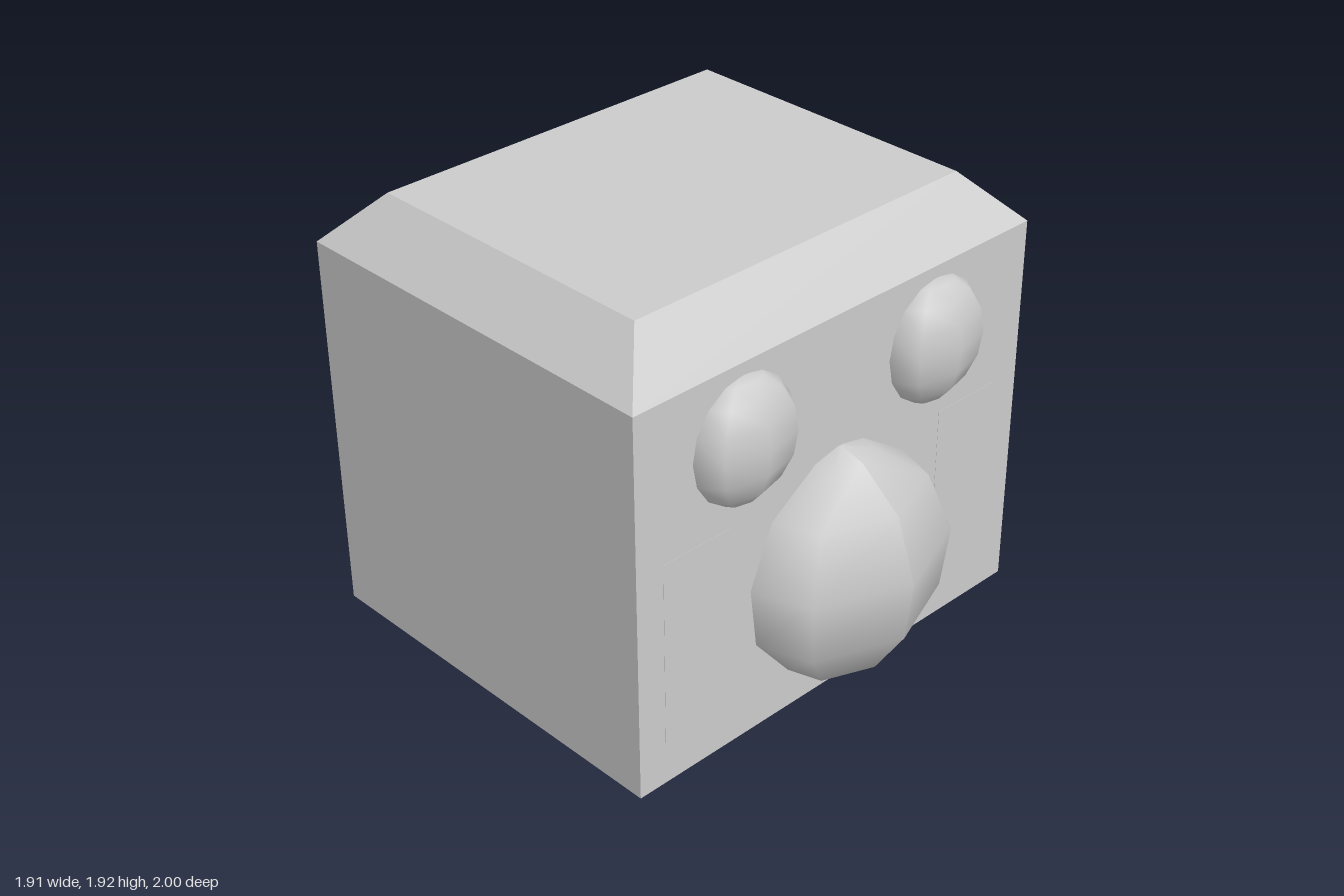
import * as THREE from 'three';

const material = new THREE.MeshStandardMaterial({ color: 0xcccccc });
const flatMaterial = new THREE.MeshStandardMaterial({ color: 0xcccccc, flatShading: true });
const FACE_Z = 0.635;

// Block with its top and bottom rims chamfered
function bodyGeometry() {
  const geo = new THREE.BoxGeometry(1.91, 1.92, 1.635, 1, 3, 1);
  const p = geo.attributes.position;
  for (let i = 0; i < p.count; i++) {
    const y = p.getY(i);
    if (Math.abs(y) > 0.9) {
      p.setX(i, Math.sign(p.getX(i)) * 0.77);
      p.setZ(i, Math.sign(p.getZ(i)) * 0.63);
    } else {
      p.setY(i, Math.sign(y) * 0.768);
    }
  }
  const flat = geo.toNonIndexed();
  flat.computeVertexNormals();
  return flat;
}

// One half of the muzzle: rows of [height, half width, forward reach]
function muzzleHalf(side) {
  const rows = [
    [1.205, 0.005, 0.005], [1.18, 0.12, 0.105], [1.04, 0.33, 0.28], [0.8, 0.43, 0.365],
    [0.555, 0.4, 0.335], [0.355, 0.235, 0.205], [0.285, 0.005, 0.005],
  ];
  const positions = [], index = [], cols = 4;
  for (const [y, w, d] of rows) {
    positions.push(0, y, FACE_Z + d);
    positions.push(side * w * 0.83, y, FACE_Z + d * 0.62);
    positions.push(side * w, y, FACE_Z);
    positions.push(side * w, y, FACE_Z - 0.06);
  }
  for (let i = 0; i < rows.length - 1; i++) {
    for (let j = 0; j < cols - 1; j++) {
      const a = i * cols + j, b = a + cols, c = b + 1, d = a + 1;
      if (side > 0) index.push(a, b, c, a, c, d);
      else index.push(a, c, b, a, d, c);
    }
  }
  const geo = new THREE.BufferGeometry();
  geo.setAttribute('position', new THREE.Float32BufferAttribute(positions, 3));
  geo.setIndex(index);
  geo.computeVertexNormals();
  return geo;
}

export function createModel() {
  const group = new THREE.Group();
  const add = (name, geo, x, y, z, mat = material) => {
    const mesh = new THREE.Mesh(geo, mat);
    mesh.name = name;
    mesh.position.set(x, y, z);
    group.add(mesh);
    return mesh;
  };

  add('body', bodyGeometry(), 0, 0.96, -0.1825, flatMaterial);

  for (const side of [1, -1]) {
    const label = side > 0 ? 'left' : 'right';
    // Flattened eye set into the face
    const eye = add(label + 'Eye', new THREE.SphereGeometry(1, 8, 8), side * 0.47, 1.437, 0.623);
    eye.scale.set(0.239, 0.247, 0.138);
    // Muzzle half, leaving a crease down the middle
    add(label + 'Muzzle', muzzleHalf(side), 0, 0, 0);
    // Cheek plate lying almost flush with the face
    add(label + 'CheekPlate', new THREE.BoxGeometry(0.31, 0.81, 0.02), side * 0.68, 0.707, FACE_Z - 0.009, flatMaterial);
  }
  return group;
}
